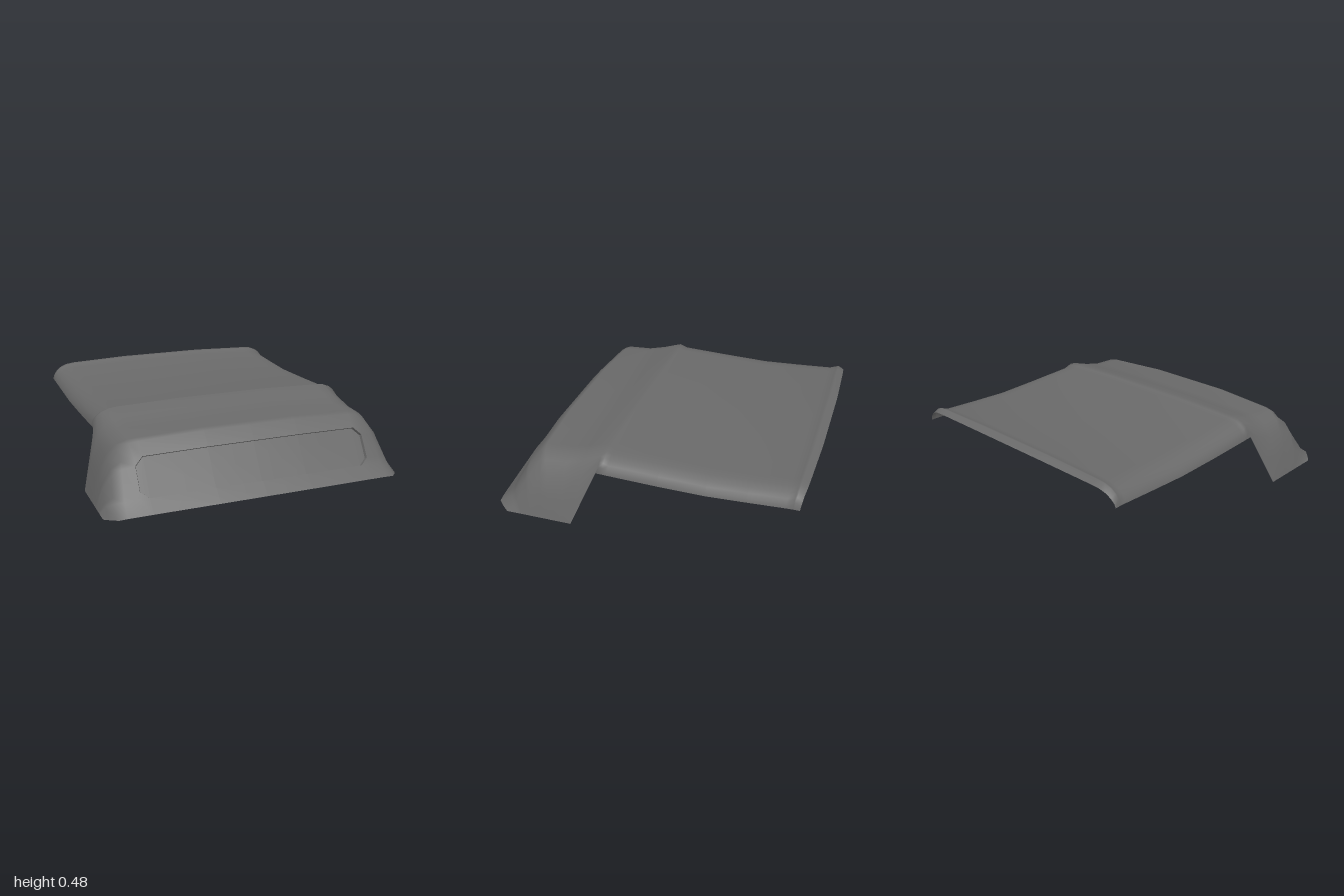
import * as THREE from 'three';

const V = (x, y, z) => new THREE.Vector3(x, y, z);
const lerpRow = (a, b, t) => a.map((p, i) => p.clone().lerp(b[i], t));
const row = (pts) => pts.map((p) => V(...p));

// Half cross-section of the rear roof, from the centre line to the side edge
const roofX = [0, 0.3, 0.7, 0.76, 0.805, 0.835, 0.855, 0.863];
const roofDrop = [0, 0, 0.012, 0.018, 0.035, 0.058, 0.083, 1];
const backBow = [0, 0, 0.014, 0.018, 0.025, 0.03, 0.035, 0.038];
const roofRow = (z, y, edgeY, bow = 0) =>
  roofX.map((x, i) => V(x, i === 7 ? edgeY : y - roofDrop[i], z + backBow[i] * bow));

// Half cross-sections of the visor, each ending on the bottom side edge
const ridge = roofRow(0.275, 0.475, 0.345);
ridge[7].z = 0.295;
const slope = row([[0, 0.443, 0.39], [0.3, 0.443, 0.39], [0.7, 0.429, 0.39], [0.76, 0.42, 0.39],
  [0.82, 0.388, 0.39], [0.868, 0.31, 0.395], [0.92, 0.17, 0.415], [0.97, 0, 0.44]]);
const shelf = row([[0, 0.414, 0.51], [0.3, 0.414, 0.51], [0.7, 0.399, 0.51], [0.76, 0.39, 0.51],
  [0.825, 0.358, 0.51], [0.877, 0.285, 0.51], [0.928, 0.16, 0.51], [0.97, 0, 0.52]]);
const brow = row([[0, 0.411, 0.7], [0.3, 0.411, 0.7], [0.7, 0.392, 0.685], [0.76, 0.383, 0.672],
  [0.825, 0.35, 0.645], [0.88, 0.28, 0.62], [0.93, 0.155, 0.605], [0.97, 0, 0.6]]);
const browFront = row([[0, 0.398, 0.732], [0.3, 0.398, 0.732], [0.7, 0.378, 0.715], [0.76, 0.369, 0.705],
  [0.825, 0.338, 0.685], [0.88, 0.27, 0.665], [0.93, 0.15, 0.65], [0.97, 0, 0.64]]);
const panelTop = row([[0, 0.32, 0.798], [0.3, 0.32, 0.798], [0.7, 0.308, 0.78], [0.75, 0.304, 0.777],
  [0.825, 0.285, 0.765], [0.882, 0.24, 0.745], [0.932, 0.14, 0.722], [0.97, 0, 0.7]]);
const panelBottom = row([[0, 0.108, 0.932], [0.3, 0.108, 0.932], [0.7, 0.098, 0.907], [0.75, 0.096, 0.903],
  [0.845, 0.09, 0.892], [0.905, 0.078, 0.87], [0.945, 0.05, 0.835], [0.97, 0, 0.8]]);
const rim = row([[0, 0.036, 1], [0.3, 0.036, 1], [0.7, 0.025, 0.976], [0.76, 0.023, 0.973],
  [0.85, 0.02, 0.967], [0.9, 0.016, 0.962], [0.94, 0.008, 0.92], [0.97, 0, 0.88]]);
const upper = lerpRow(panelTop, panelBottom, 0.2);
const lower = lerpRow(panelTop, panelBottom, 0.82);

const rows = [
  roofRow(-1, 0.455, 0.347, 1), roofRow(-0.955, 0.476, 0.348, 0.6), roofRow(-0.935, 0.47, 0.348, 0.3),
  roofRow(-0.88, 0.453, 0.347), roofRow(-0.65, 0.441, 0.336), roofRow(-0.4, 0.431, 0.326),
  roofRow(-0.1, 0.441, 0.331), roofRow(0.22, 0.455, 0.342), roofRow(0.25, 0.466, 0.344),
  ridge, slope, shelf, brow, browFront, panelTop, upper, lower, panelBottom, rim,
];
const P0 = rows.indexOf(panelTop);

// Point on the shell: column -7..7, negative columns are mirrored
const at = (r, c) => {
  const p = rows[r][Math.abs(c)].clone();
  if (c < 0) p.x *= -1;
  return p;
};

function makeGeometry(points, index) {
  const g = new THREE.BufferGeometry().setFromPoints(points);
  g.setIndex(index);
  return g;
}

// Roof and visor skin with a chamfered opening in the front face
function shellGeometry() {
  const points = [], index = [];
  const id = (r, c) => r * 15 + c + 7;
  rows.forEach((_, r) => { for (let c = -7; c <= 7; c++) points.push(at(r, c)); });
  for (let r = 0; r < rows.length - 1; r++) {
    for (let c = -7; c < 7; c++) {
      const a = id(r, c), b = id(r + 1, c), d = id(r + 1, c + 1), e = id(r, c + 1);
      const band = r - P0;
      if (band >= 0 && band <= 2 && c >= -3 && c <= 2) {
        // keep only the corner triangles around the opening
        if (band === 0 && c === 2) index.push(a, d, e);
        if (band === 0 && c === -3) index.push(a, b, e);
        if (band === 2 && c === 2) index.push(b, d, e);
        if (band === 2 && c === -3) index.push(a, b, d);
      } else index.push(a, b, d, a, d, e);
    }
  }
  const g = makeGeometry(points, index);
  g.computeVertexNormals();
  return g;
}

// Opening outline, clockwise from the upper right-hand corner of the model
function outline() {
  const loop = [];
  for (let c = -2; c <= 2; c++) loop.push(at(P0, c));
  loop.push(at(P0 + 1, 3), at(P0 + 2, 3));
  for (let c = 2; c >= -2; c--) loop.push(at(P0 + 3, c));
  loop.push(at(P0 + 2, -3), at(P0 + 1, -3));
  return loop;
}

export function createModel() {
  const group = new THREE.Group();
  group.name = 'cabRoof';
  const grey = new THREE.MeshStandardMaterial({ color: 0x6a6a6a, side: THREE.DoubleSide });
  grey.name = 'grey';
  const add = (name, geometry) => {
    const mesh = new THREE.Mesh(geometry, grey);
    mesh.name = name;
    group.add(mesh);
  };

  add('roofShell', shellGeometry());

  // Recessed panel and the narrow wall around it
  const outer = outline(), n = outer.length;
  const centre = V(0, 0.21, 0.86), push = V(0, -0.008, -0.014);
  const inner = outer.map((p) => p.clone().lerp(centre, 0.008).add(push));
  const wall = [];
  for (let i = 0; i < n; i++) {
    const j = (i + 1) % n;
    wall.push(i, n + i, n + j, i, n + j, j);
  }
  const wallGeometry = makeGeometry([...outer, ...inner], wall).toNonIndexed();
  wallGeometry.computeVertexNormals();
  add('panelWall', wallGeometry);

  const panel = [];
  for (let i = 0; i < 4; i++) panel.push(i, 11 - i, 10 - i, i, 10 - i, i + 1);
  panel.push(4, 7, 6, 4, 6, 5, 0, 13, 12, 0, 12, 11);
  const panelGeometry = makeGeometry(inner, panel);
  panelGeometry.computeVertexNormals();
  add('frontPanel', panelGeometry);

  return group;
}
